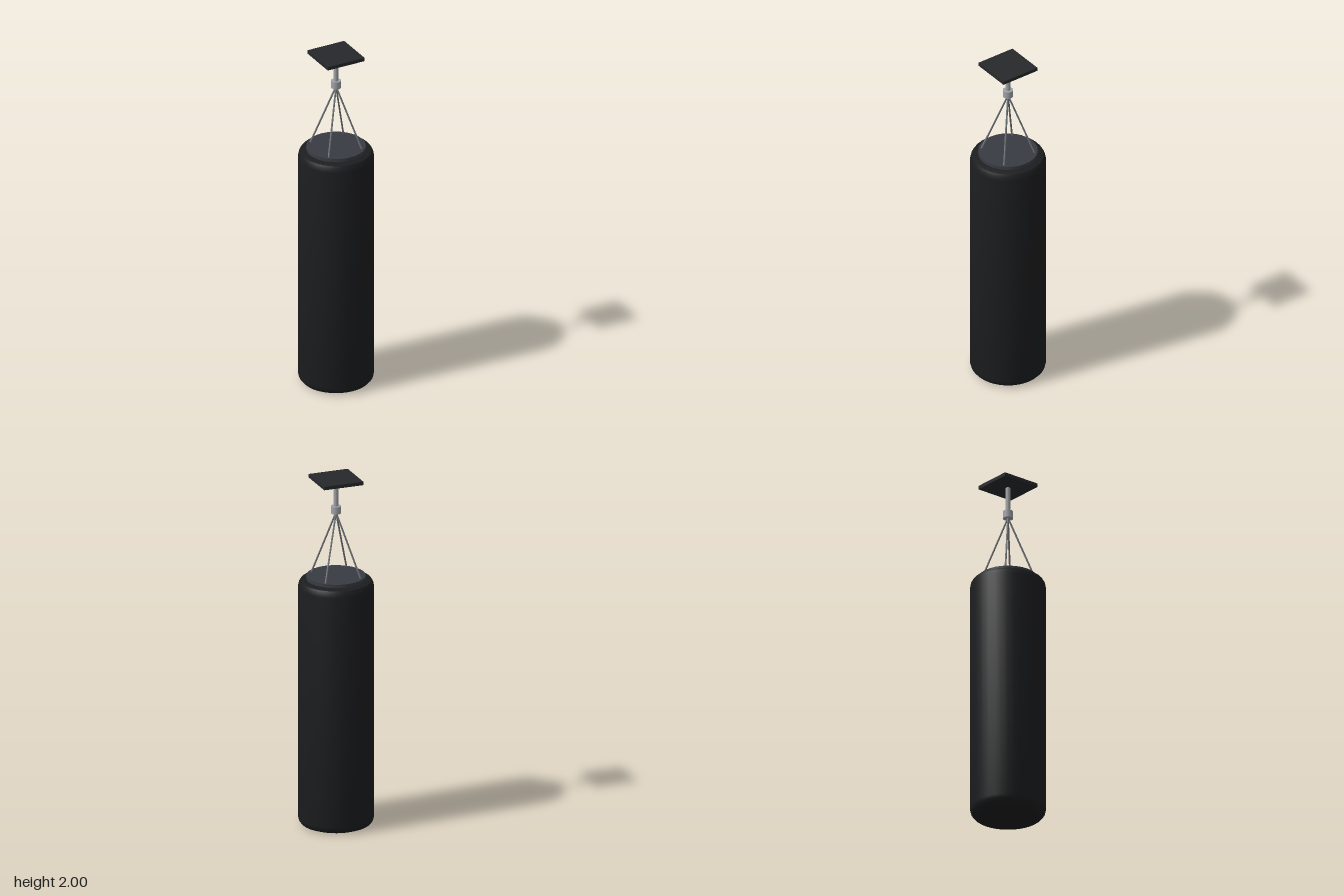
import * as THREE from 'three';
import { toCreasedNormals } from 'three/addons/utils/BufferGeometryUtils.js';

const mat = (color) => new THREE.MeshStandardMaterial({ color });

export function createModel() {
  const group = new THREE.Group();
  const leather = mat(0x1c1d1f), capGrey = mat(0x383c42), plateGrey = mat(0x26282b);
  const steel = mat(0xa0a4a8), chainSteel = mat(0x74787c);

  const add = (name, geometry, material, y = 0) => {
    const mesh = new THREE.Mesh(geometry, material);
    mesh.name = name;
    mesh.position.y = y;
    group.add(mesh);
    return mesh;
  };

  // Bag body with rounded shoulders and base
  const profile = [
    [0, 0], [0.165, 0], [0.19, 0.01], [0.203, 0.025], [0.208, 0.045],
    [0.208, 1.375], [0.204, 1.395], [0.195, 1.41], [0.165, 1.418], [0, 1.418],
  ].map(([x, y]) => new THREE.Vector2(x, y));
  add('bagBody', toCreasedNormals(new THREE.LatheGeometry(profile, 36), 0.5), leather);

  // Disc closing the top of the bag
  add('topCap', new THREE.CylinderGeometry(0.163, 0.163, 0.025, 28), capGrey, 1.425);

  // Four straps from the cap to the swivel
  const apex = new THREE.Vector3(0, 1.8, 0);
  const up = new THREE.Vector3(0, 1, 0);
  for (const sx of [-1, 1]) {
    for (const sz of [-1, 1]) {
      const foot = new THREE.Vector3(sx * 0.105, 1.43, sz * 0.105);
      const dir = apex.clone().sub(foot);
      const strap = add('hangingStrap', new THREE.CylinderGeometry(0.005, 0.005, dir.length(), 8), chainSteel);
      strap.position.copy(foot).addScaledVector(dir, 0.5);
      strap.quaternion.setFromUnitVectors(up, dir.normalize());
    }
  }

  // Swivel, rod and ceiling plate
  add('swivel', new THREE.CylinderGeometry(0.028, 0.028, 0.042, 16), steel, 1.817);
  add('hangerRod', new THREE.CylinderGeometry(0.013, 0.013, 0.16, 12), steel, 1.905);
  add('ceilingPlate', new THREE.BoxGeometry(0.23, 0.02, 0.23), plateGrey, 1.99);

  return group;
}
